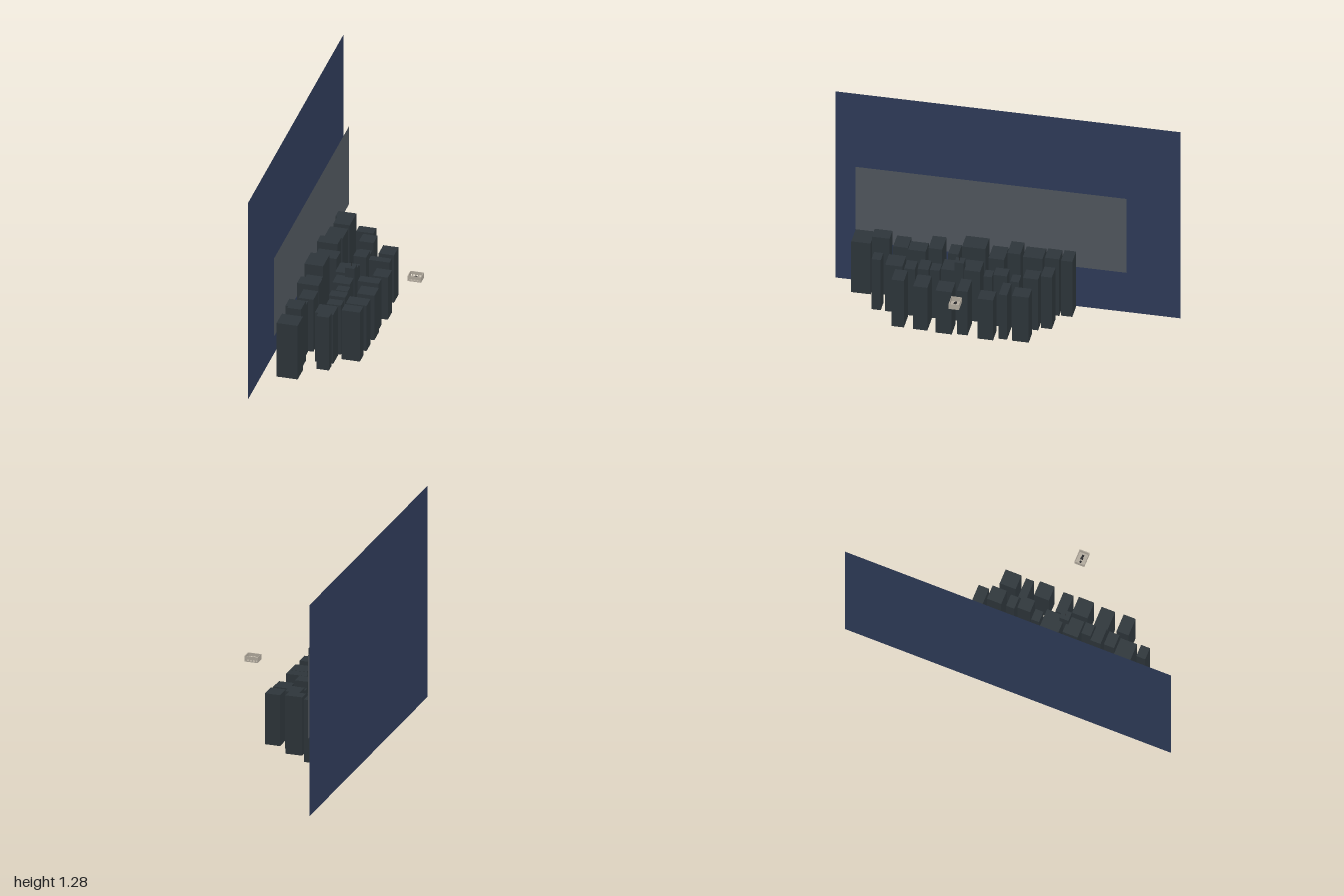
import * as THREE from 'three';

const material = (name, color, side = THREE.FrontSide) => {
  const m = new THREE.MeshStandardMaterial({ color, side });
  m.name = name;
  return m;
};

export function createModel() {
  const model = new THREE.Group();
  model.name = 'cityBackdropSet';

  const sky = material('night sky blue', 0x2f3c5a, THREE.DoubleSide);
  const haze = material('haze grey', 0x52585f, THREE.DoubleSide);
  const slate = material('dark slate', 0x2e363b);
  const stone = material('pale stone', 0xb5ada0);
  const dark = material('charcoal', 0x2a2a2c);

  // Box given by its limits on each axis
  const block = (parent, name, mat, x0, x1, y0, y1, z0, z1) => {
    const mesh = new THREE.Mesh(new THREE.BoxGeometry(x1 - x0, y1 - y0, z1 - z0), mat);
    mesh.position.set((x0 + x1) / 2, (y0 + y1) / 2, (z0 + z1) / 2);
    mesh.name = name;
    parent.add(mesh);
  };

  // Upright sheet facing +x
  const sheet = (name, mat, x, y0, y1, z0, z1) => {
    const mesh = new THREE.Mesh(new THREE.PlaneGeometry(z1 - z0, y1 - y0), mat);
    mesh.rotation.y = Math.PI / 2;
    mesh.position.set(x, (y0 + y1) / 2, (z0 + z1) / 2);
    mesh.name = name;
    model.add(mesh);
  };
  sheet('skyBackdrop', sky, -0.395, 0, 1.285, -1, 1);
  sheet('hazePanel', haze, -0.282, 0.35, 0.86, -0.71, 0.86);

  // Three rows of towers: x0, x1, z0, z1, top
  const rows = {
    backTower: [
      [-0.262, -0.156, -0.423, -0.357, 0.47], [-0.246, -0.151, -0.348, -0.264, 0.48],
      [-0.262, -0.156, -0.25, -0.136, 0.465], [-0.294, -0.161, -0.12, -0.045, 0.475],
      [-0.267, -0.138, -0.031, 0.06, 0.44], [-0.299, -0.172, 0.085, 0.22, 0.475],
      [-0.262, -0.167, 0.24, 0.3, 0.42], [-0.272, -0.146, 0.33, 0.41, 0.455],
      [-0.23, -0.143, 0.425, 0.528, 0.43], [-0.299, -0.172, 0.535, 0.62, 0.42],
      [-0.237, -0.156, 0.637, 0.74, 0.48], [-0.267, -0.143, 0.745, 0.857, 0.44],
    ],
    middleTower: [
      [-0.114, -0.013, -0.334, -0.27, 0.445], [-0.071, 0.015, -0.26, -0.173, 0.44],
      [-0.058, 0.015, -0.148, -0.098, 0.405], [-0.056, 0.02, -0.08, -0.002, 0.44],
      [-0.079, -0.011, 0.014, 0.062, 0.40], [-0.108, 0, 0.08, 0.192, 0.435],
      [-0.093, 0.01, 0.212, 0.304, 0.43], [-0.056, 0.015, 0.312, 0.368, 0.42],
      [-0.077, 0.02, 0.376, 0.438, 0.42], [-0.068, 0.017, 0.455, 0.517, 0.41],
      [-0.105, 0.003, 0.53, 0.63, 0.41], [-0.073, 0, 0.656, 0.71, 0.435],
      [-0.04, 0.014, 0.172, 0.226, 0.49],
    ],
    frontTower: [
      [0.056, 0.146, -0.233, -0.136, 0.40], [0.019, 0.142, -0.106, -0.058, 0.395],
      [0.075, 0.165, -0.03, 0.06, 0.365], [0.022, 0.146, 0.122, 0.184, 0.39],
      [0.052, 0.155, 0.212, 0.306, 0.38], [0.024, 0.146, 0.355, 0.438, 0.385],
      [0.034, 0.142, 0.492, 0.565, 0.41],
    ],
  };
  for (const [name, list] of Object.entries(rows)) {
    const row = new THREE.Group();
    row.name = name + 'Row';
    list.forEach(([x0, x1, z0, z1, top]) => block(row, name, slate, x0, x1, 0.09, top, z0, z1));
    model.add(row);
  }

  // Aerial on the tallest middle tower
  const aerial = new THREE.Mesh(new THREE.CylinderGeometry(0.0015, 0.0015, 0.022, 6), dark);
  aerial.position.set(-0.013, 0.501, 0.199);
  aerial.name = 'aerial';
  model.add(aerial);

  // Small balcony: floor, outer wall and side walls
  const balcony = new THREE.Group();
  balcony.name = 'balcony';
  model.add(balcony);
  block(balcony, 'balconyFloor', stone, 0.315, 0.395, 0.433, 0.438, 0.12, 0.18);
  block(balcony, 'outerWall', stone, 0.39, 0.395, 0.438, 0.467, 0.12, 0.18);
  block(balcony, 'innerWall', stone, 0.315, 0.319, 0.438, 0.467, 0.12, 0.18);
  for (const z of [0.12, 0.177]) {
    block(balcony, 'sideRail', stone, 0.319, 0.39, 0.448, 0.467, z, z + 0.003);
    for (let i = 0; i < 4; i++) {
      const x = 0.326 + i * 0.018;
      block(balcony, 'railPost', stone, x, x + 0.006, 0.438, 0.448, z, z + 0.003);
    }
  }

  // Balcony table and two seats
  block(balcony, 'tableTop', dark, 0.346, 0.362, 0.449, 0.451, 0.142, 0.158);
  block(balcony, 'tableLeg', dark, 0.353, 0.355, 0.438, 0.449, 0.149, 0.151);
  for (const x of [0.329, 0.367]) {
    block(balcony, 'seat', dark, x, x + 0.011, 0.438, 0.445, 0.144, 0.155);
  }
  return model;
}
